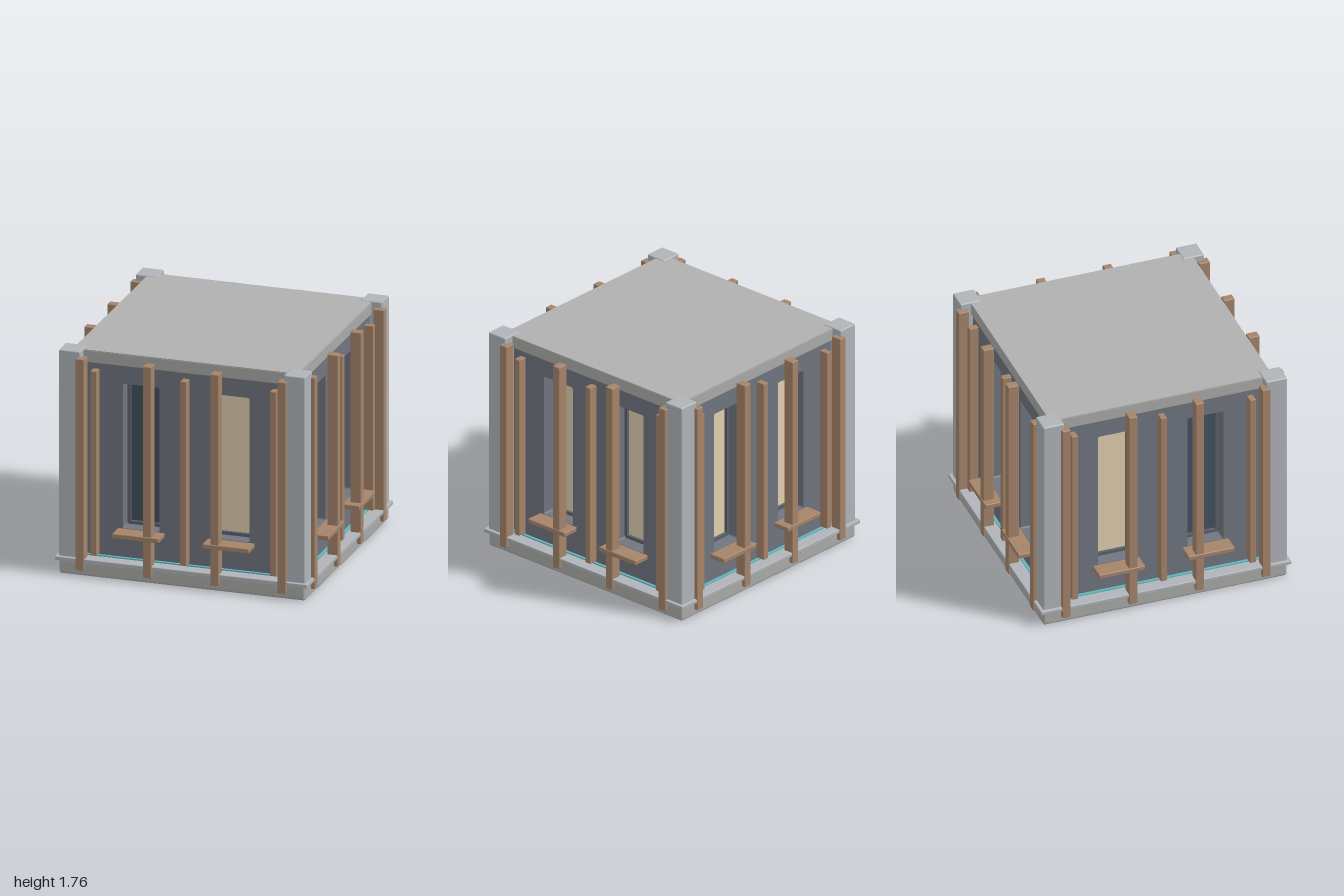
import * as THREE from 'three';
import { RoundedBoxGeometry } from 'three/addons/geometries/RoundedBoxGeometry.js';

const mat = (color) => new THREE.MeshStandardMaterial({ color });
const M = {
  wood: mat(0xa5846a), wall: mat(0x70757f), post: mat(0xb0b4b9), trim: mat(0xaaaba8),
  roof: mat(0xb0b0b0), frame: mat(0x5c616b), lit: mat(0xe0cfb0), dark: mat(0x42505e), teal: mat(0x62b9c0),
};

// Box given by its min/max extents; r > 0 softens the edges
function block(parent, name, material, [x0, x1], [y0, y1], [z0, z1], r = 0) {
  const size = [x1 - x0, y1 - y0, z1 - z0];
  const geo = r ? new RoundedBoxGeometry(...size, 2, r) : new THREE.BoxGeometry(...size);
  const mesh = new THREE.Mesh(geo, material);
  mesh.name = name;
  mesh.position.set((x0 + x1) / 2, (y0 + y1) / 2, (z0 + z1) / 2);
  parent.add(mesh);
  return mesh;
}

// Rounded rectangle outline for walls, openings and frames
function rounded(path, x0, x1, y0, y1, r) {
  path.moveTo(x0 + r, y0);
  path.lineTo(x1 - r, y0);
  path.quadraticCurveTo(x1, y0, x1, y0 + r);
  path.lineTo(x1, y1 - r);
  path.quadraticCurveTo(x1, y1, x1 - r, y1);
  path.lineTo(x0 + r, y1);
  path.quadraticCurveTo(x0, y1, x0, y1 - r);
  path.lineTo(x0, y0 + r);
  path.quadraticCurveTo(x0, y0, x0 + r, y0);
  return path;
}

function plate(parent, name, material, shape, z, depth) {
  const geo = new THREE.ExtrudeGeometry(shape, { depth, bevelEnabled: false, curveSegments: 4 });
  const mesh = new THREE.Mesh(geo, material);
  mesh.name = name;
  mesh.position.z = z;
  parent.add(mesh);
}

const around = (c, half) => [c - half, c + half];
const WIN = 0.353; // window centre offset

// One facade, facing +z
function facade(leftGlass, rightGlass) {
  const g = new THREE.Group();

  // Wall with two deep window openings
  const wall = new THREE.Shape();
  wall.moveTo(-0.82, 0.1);
  wall.lineTo(0.82, 0.1);
  wall.lineTo(0.82, 1.7);
  wall.lineTo(-0.82, 1.7);
  wall.closePath();
  for (const s of [-1, 1]) {
    wall.holes.push(rounded(new THREE.Path(), ...around(s * WIN, 0.143), 0.375, 1.51, 0.015));
  }
  plate(g, 'wall', M.wall, wall, 0.725, 0.14);

  // Windows and sills
  [[-1, leftGlass], [1, rightGlass]].forEach(([s, glass]) => {
    const c = s * WIN;
    const frame = rounded(new THREE.Shape(), ...around(c, 0.145), 0.373, 1.512, 0.015);
    frame.holes.push(rounded(new THREE.Path(), ...around(c, 0.119), 0.4, 1.487, 0.005));
    plate(g, 'windowFrame', M.frame, frame, 0.727, 0.03);
    block(g, 'windowGlass', glass, around(c, 0.13), [0.39, 1.5], [0.71, 0.735]);
    block(g, 'windowSill', M.wood, around(c, 0.182), [0.335, 0.372], [0.86, 1.0], 0.006);
  });

  // Tall fins standing off the wall
  for (const x of [-0.79, -0.264, 0.264, 0.79]) {
    block(g, 'tallFin', M.wood, around(x, 0.033), [0.05, 1.71], [0.908, 0.993], 0.006);
  }
  // Short fins fixed to the wall
  for (const x of [-0.703, 0, 0.703]) {
    block(g, 'shortFin', M.wood, around(x, 0.024), [0.157, 1.605], [0.86, 0.935], 0.004);
  }

  // Top beam and the thin strip at the wall foot
  block(g, 'topBeam', M.trim, [-0.81, 0.81], [1.652, 1.746], [0.76, 0.88], 0.006);
  block(g, 'footStrip', M.teal, [-0.8, 0.8], [0.135, 0.15], [0.8, 0.886]);
  return g;
}

export function createModel() {
  const root = new THREE.Group();
  root.name = 'facadeModule';

  // Base slab and projecting ledge
  block(root, 'baseSlab', M.trim, [-0.962, 0.962], [0, 0.115], [-0.962, 0.962], 0.018);
  block(root, 'baseLedge', M.post, [-0.988, 0.988], [0.11, 0.14], [-0.988, 0.988], 0.005);

  // Roof slab
  block(root, 'roof', M.roof, [-0.879, 0.879], [1.7, 1.75], [-0.879, 0.879]);

  // Corner posts
  for (const x of [-1, 1]) for (const z of [-1, 1]) {
    block(root, 'cornerPost', M.post, around(x * 0.88, 0.083), [0.12, 1.757], around(z * 0.88, 0.083), 0.01);
  }

  // Four facades: front, left, back, right
  const glass = [[M.dark, M.lit], [M.lit, M.lit], [M.lit, M.lit], [M.lit, M.dark]];
  ['frontFacade', 'leftFacade', 'backFacade', 'rightFacade'].forEach((name, i) => {
    const side = facade(...glass[i]);
    side.name = name;
    side.rotation.y = i * Math.PI / 2;
    root.add(side);
  });
  return root;
}
